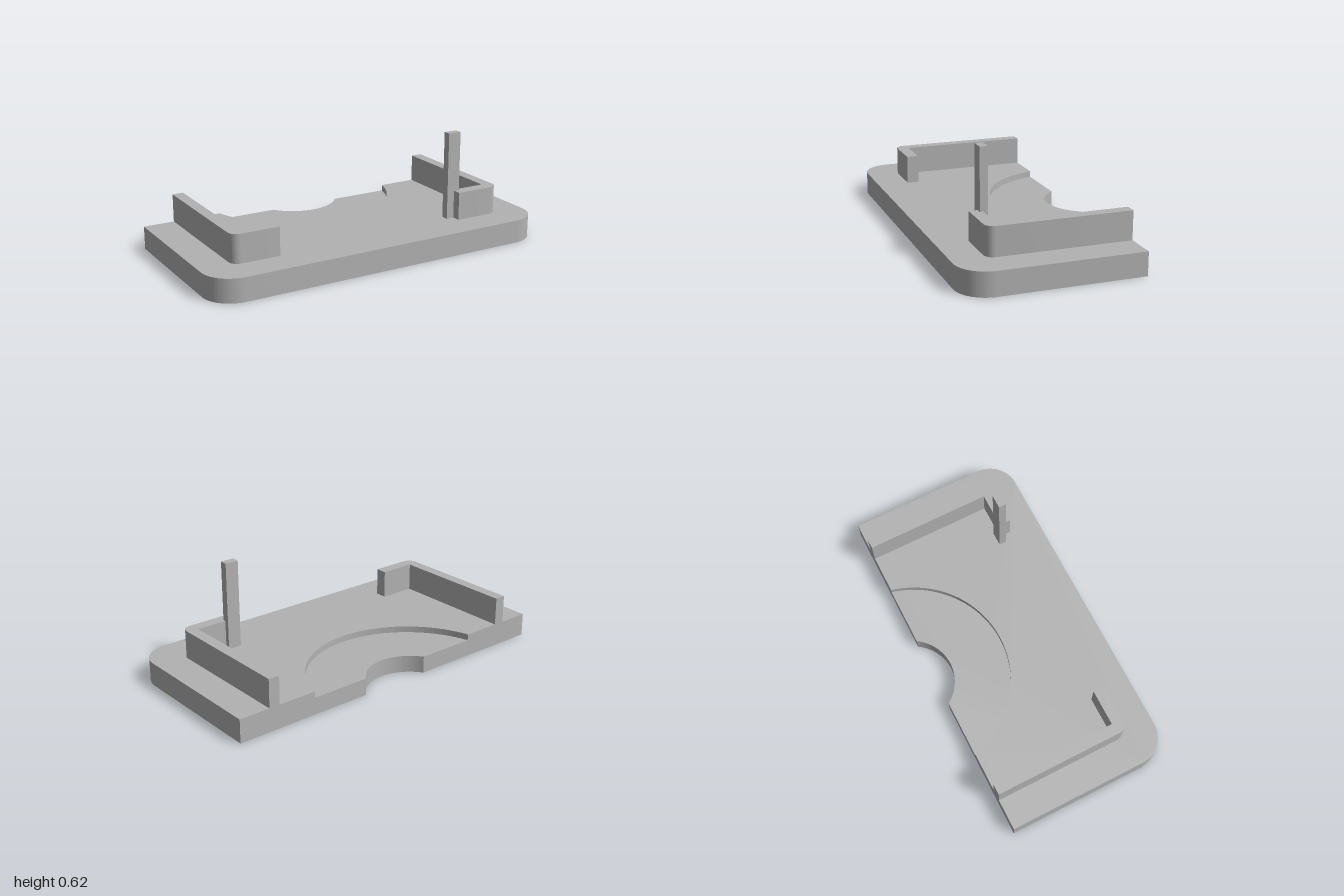
import * as THREE from 'three';
import { toCreasedNormals } from 'three/addons/utils/BufferGeometryUtils.js';

const BACK = -0.477, FRONT = 0.477;
const FLOOR = 0.095, TOP = 0.13, WALL_TOP = 0.288;

export function createModel() {
  const model = new THREE.Group();
  model.name = 'trayMount';
  const grey = new THREE.MeshStandardMaterial({ color: 0xb2b2b2 });
  grey.name = 'grey';

  const add = (name, geometry) => {
    const mesh = new THREE.Mesh(geometry, grey);
    mesh.name = name;
    model.add(mesh);
    return mesh;
  };

  // Extrude a plan outline (x, z) between two heights
  const slab = (shape, bottom, top) => {
    const g = new THREE.ExtrudeGeometry(shape, { depth: top - bottom, bevelEnabled: false, curveSegments: 32 });
    g.rotateX(Math.PI / 2).translate(0, top, 0);
    return toCreasedNormals(g, 0.5);
  };

  // Plate outline: rounded front corners, circular bite out of the back edge
  const plate = (biteRadius) => {
    const r = 0.165, cz = -0.61;
    const a = Math.asin((BACK - cz) / biteRadius);
    const s = new THREE.Shape();
    s.moveTo(-1, BACK);
    s.lineTo(-1, FRONT - r);
    s.absarc(-1 + r, FRONT - r, r, Math.PI, Math.PI / 2, true);
    s.absarc(1 - r, FRONT - r, r, Math.PI / 2, 0, true);
    s.lineTo(1, BACK);
    s.absarc(0, cz, biteRadius, a, Math.PI - a, false);
    s.closePath();
    return s;
  };
  add('baseLower', slab(plate(0.245), 0, FLOOR));
  add('baseUpperWithRecess', slab(plate(0.56), FLOOR, TOP));

  // L-shaped side walls with a rounded outer corner
  for (const side of [1, -1]) {
    const r = 0.05, out = 0.825, inn = 0.763, end = 0.558, zOut = 0.302, zIn = 0.236;
    const s = new THREE.Shape();
    s.moveTo(side * inn, BACK);
    s.lineTo(side * out, BACK);
    s.lineTo(side * out, zOut - r);
    const from = side > 0 ? 0 : Math.PI;
    s.absarc(side * (out - r), zOut - r, r, from, Math.PI / 2, side < 0);
    s.lineTo(side * end, zOut);
    s.lineTo(side * end, zIn);
    s.lineTo(side * inn, zIn);
    s.closePath();
    add(side > 0 ? 'leftWall' : 'rightWall', slab(s, TOP, WALL_TOP));
  }

  // Upright post beside the left wall's end
  const postTop = 0.622;
  add('post', new THREE.BoxGeometry(0.077, postTop - TOP, 0.043))
    .position.set(0.552, (postTop + TOP) / 2, 0.232);

  return model;
}
